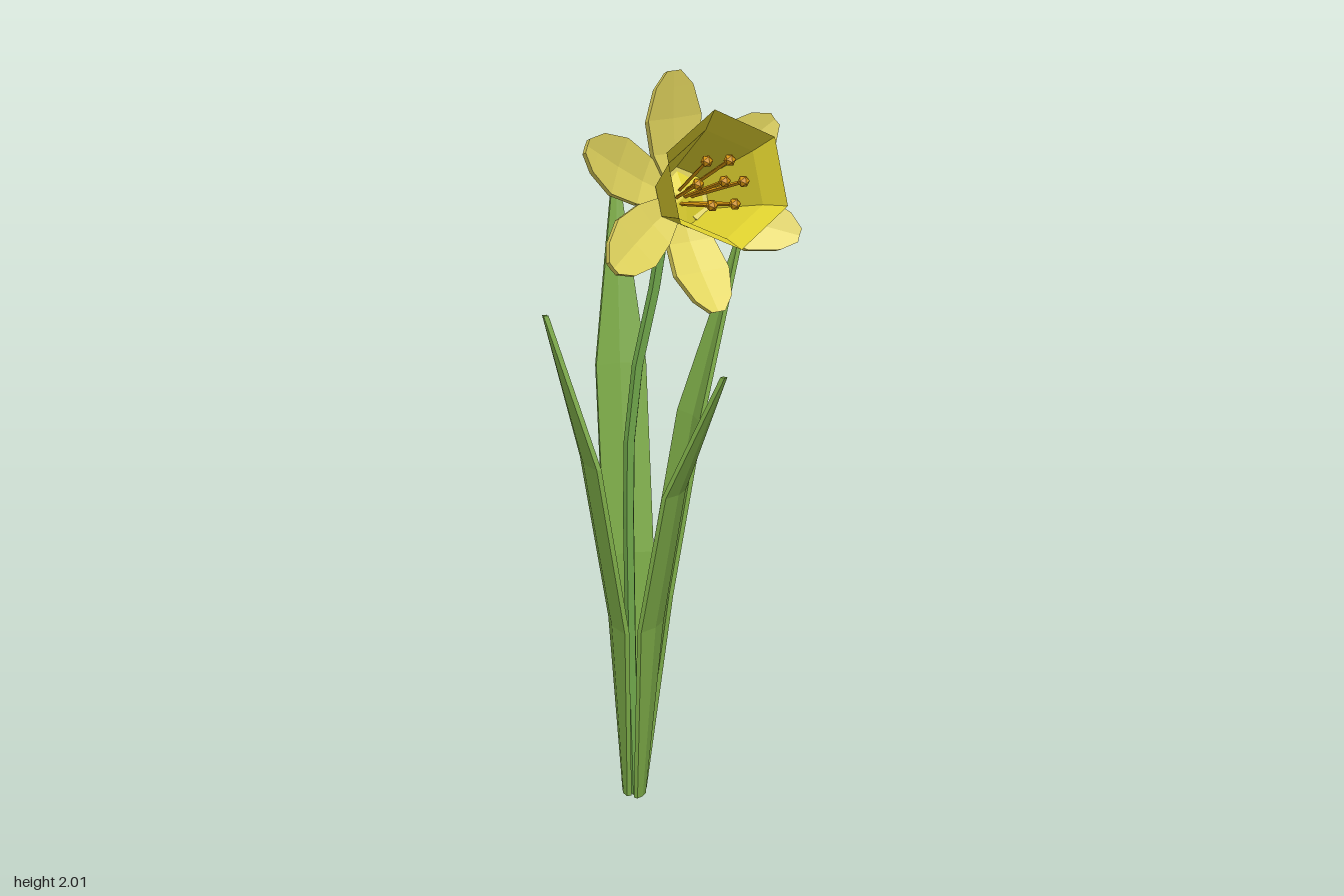
import * as THREE from 'three';

const leafGreen = new THREE.MeshStandardMaterial({ color: 0x7dac48 });
leafGreen.name = 'leafGreen';
const stemGreen = new THREE.MeshStandardMaterial({ color: 0x6fa64a });
stemGreen.name = 'stemGreen';
const paleYellow = new THREE.MeshStandardMaterial({ color: 0xe2d55e });
paleYellow.name = 'paleYellow';
const trumpetYellow = new THREE.MeshStandardMaterial({ color: 0xe3d530, side: THREE.DoubleSide });
trumpetYellow.name = 'trumpetYellow';
const antherOrange = new THREE.MeshStandardMaterial({ color: 0xd9960f });
antherOrange.name = 'antherOrange';

// Faceted normals
function flat(geometry) {
  const g = geometry.index ? geometry.toNonIndexed() : geometry;
  g.computeVertexNormals();
  return g;
}

function part(name, geometry, material) {
  const mesh = new THREE.Mesh(flat(geometry), material);
  mesh.name = name;
  return mesh;
}

// Skin closed rings of points, with a cap at each end
function loft(rings) {
  const pos = [];
  const tri = (...pts) => pts.forEach((p) => pos.push(...p));
  const n = rings[0].length;
  for (let s = 0; s < rings.length - 1; s++) {
    const a = rings[s], b = rings[s + 1];
    for (let i = 0; i < n; i++) {
      const j = (i + 1) % n;
      tri(a[i], a[j], b[j]);
      tri(a[i], b[j], b[i]);
    }
  }
  // caps: two quads each, split along the middle fold
  const first = rings[0], last = rings[rings.length - 1];
  for (const [a, b, c, d] of [[0, 1, 4, 5], [1, 2, 3, 4]]) {
    tri(last[a], last[b], last[c]);
    tri(last[a], last[c], last[d]);
    tri(first[a], first[c], first[b]);
    tri(first[a], first[d], first[c]);
  }
  const g = new THREE.BufferGeometry();
  g.setAttribute('position', new THREE.Float32BufferAttribute(pos, 3));
  return g;
}

// Folded strip section: half width, fold depth, thickness
const section = (w, fold, t) => [
  [-w, 0], [0, fold], [w, 0], [w, t], [0, fold + t], [-w, t],
];

// Leaf: width direction (wx, wz) and stations [x, y, z, halfWidth]
function leaf(name, wx, wz, stations) {
  const len = Math.hypot(wx, wz);
  const ux = wx / len, uz = wz / len;
  const rings = stations.map(([x, y, z, hw]) =>
    section(hw, hw * 0.2, 0.013).map(([a, b]) => [x + ux * a + uz * b, y, z + uz * a - ux * b]));
  return part(name, loft(rings), leafGreen);
}

// Petal: stations [radius, halfWidth, forward]
function petal(index) {
  const stations = [
    [0.03, 0.03, 0], [0.11, 0.062, 0.018], [0.19, 0.073, 0.05],
    [0.26, 0.05, 0.082], [0.295, 0.018, 0.095],
  ];
  const lift = index % 2 ? -0.008 : 0.004;
  const rings = stations.map(([r, hw, s]) =>
    section(hw, -hw * 0.15, 0.022).map(([a, b]) => [-a, r, s + b + lift - 0.01]));
  const mesh = part('petal', loft(rings), paleYellow);
  mesh.rotation.z = THREE.MathUtils.degToRad(5 - 60 * index);
  return mesh;
}

// Flower head, built facing local +z
function createFlower() {
  const flower = new THREE.Group();
  flower.name = 'flowerHead';
  for (let i = 0; i < 6; i++) flower.add(petal(i));

  // Six-sided trumpet with a flared mouth
  const profile = [[0, 0.035], [0.075, 0.015], [0.13, 0.215], [0.165, 0.28]]
    .map(([r, s]) => new THREE.Vector2(r, s));
  const trumpet = part('trumpet', new THREE.LatheGeometry(profile, 6).rotateX(Math.PI / 2), trumpetYellow);
  trumpet.rotation.z = THREE.MathUtils.degToRad(5);
  flower.add(trumpet);

  // Six stamens around a central pistil
  for (let i = 0; i < 7; i++) {
    const centre = i === 6;
    const angle = (i + 0.5) * Math.PI / 3;
    const spread = centre ? 0 : 1;
    const at = (r, s) => new THREE.Vector3(Math.sin(angle) * r * spread, Math.cos(angle) * r * spread, s);
    const end = at(0.06, centre ? 0.26 : 0.24);
    const path = new THREE.LineCurve3(at(0.02, 0.03), end);
    flower.add(part(centre ? 'pistil' : 'filament', new THREE.TubeGeometry(path, 1, 0.005, 4), antherOrange));
    const tip = part(centre ? 'stigma' : 'anther', new THREE.IcosahedronGeometry(0.015, 0), antherOrange);
    tip.position.copy(end);
    flower.add(tip);
  }

  // Green cup joining flower to stem
  const cup = part('cup', new THREE.CylinderGeometry(0.062, 0.022, 0.09, 6).rotateX(Math.PI / 2), stemGreen);
  cup.position.z = -0.04;
  flower.add(cup);

  // Turn the head to face forward, a little right and up
  const n = new THREE.Vector3(-0.44, 0.27, 0.85).normalize();
  const u = new THREE.Vector3(0, 1, 0).addScaledVector(n, -n.y).normalize();
  const r = new THREE.Vector3().crossVectors(u, n);
  flower.quaternion.setFromRotationMatrix(new THREE.Matrix4().makeBasis(r, u, n));
  flower.position.set(-0.018, 1.695, 0.003);
  return flower;
}

export function createModel() {
  const model = new THREE.Group();
  model.name = 'daffodil';

  model.add(
    leaf('backLeaf', 0.06, 0.042, [
      [-0.005, 0.01, -0.165, 0.014], [0.01, 0.7, -0.192, 0.07],
      [0.06, 1.22, -0.255, 0.07], [0.132, 1.73, -0.327, 0.007]]),
    leaf('leftLeaf', -0.035, 0.066, [
      [-0.003, 0.01, -0.15, 0.018], [0.06, 0.6, -0.132, 0.074],
      [0.155, 1.08, -0.1, 0.072], [0.285, 1.57, -0.03, 0.007]]),
    leaf('rightLeaf', 0.037, -0.062, [
      [-0.055, 0.01, -0.148, 0.02], [-0.078, 0.53, -0.152, 0.068],
      [-0.14, 1.0, -0.19, 0.07], [-0.225, 1.4, -0.26, 0.007]]),
    leaf('frontLeaf', -1, 0.05, [
      [-0.05, 0.01, -0.12, 0.02], [-0.057, 0.54, -0.072, 0.052],
      [-0.075, 0.94, 0.022, 0.045], [-0.09, 1.28, 0.19, 0.006]]),
  );

  // Stem bends forward near the top
  const stemPath = new THREE.CatmullRomCurve3([
    [-0.03, 0, -0.145], [-0.04, 0.6, -0.15], [-0.035, 1.15, -0.14],
    [0, 1.48, -0.085], [0.014, 1.66, -0.06],
  ].map((p) => new THREE.Vector3(...p)));
  model.add(part('stem', new THREE.TubeGeometry(stemPath, 8, 0.016, 5), stemGreen));

  model.add(createFlower());
  return model;
}
